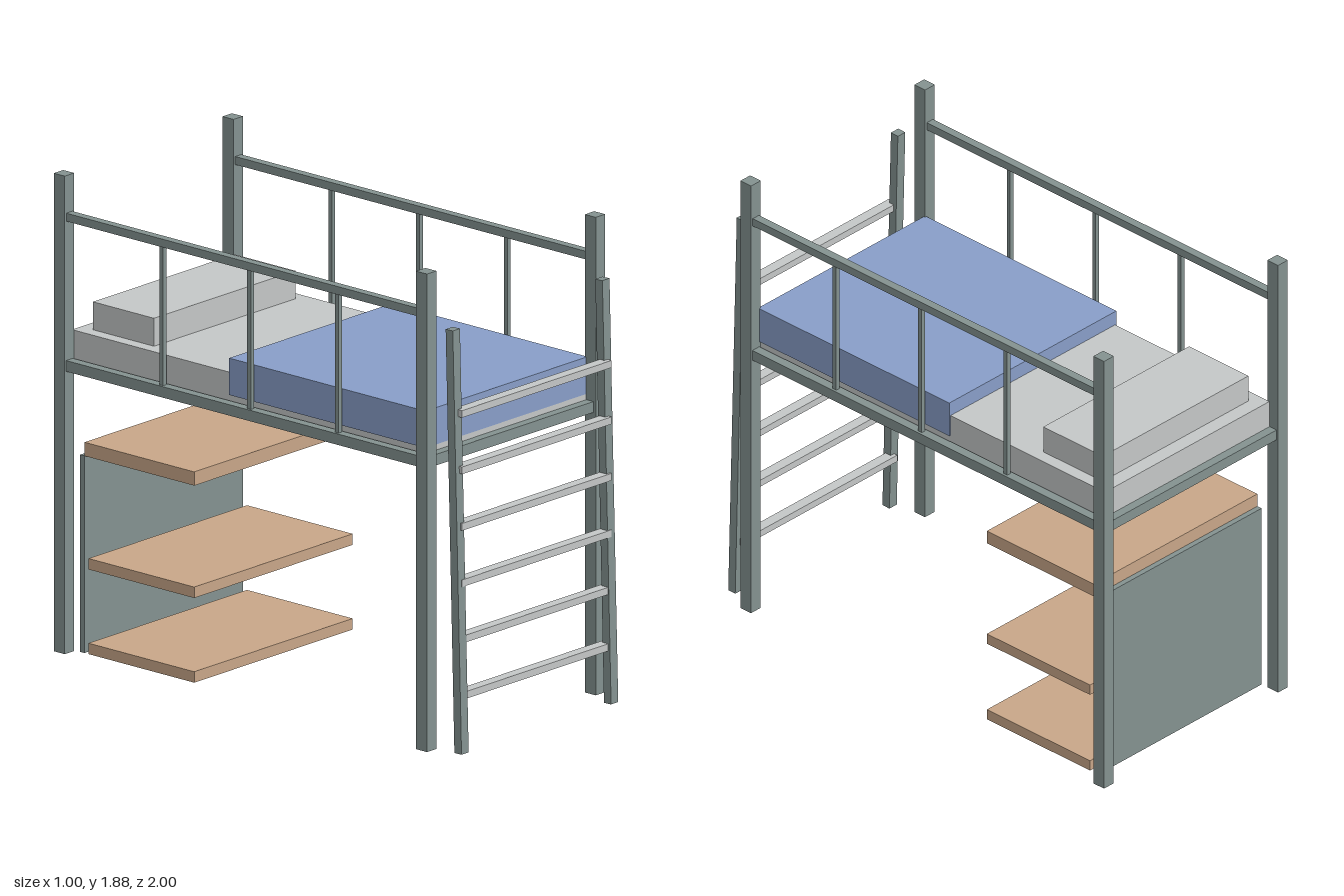
import * as THREE from 'three';

export function createModel() {
  const model = new THREE.Group();
  model.name = 'loftBed';

  const mat = (name, color) => {
    const m = new THREE.MeshStandardMaterial({ color });
    m.name = name;
    return m;
  };
  const frame = mat('grey green frame', 0x849290);
  const linen = mat('light grey linen', 0xc4c7c7);
  const blue = mat('blue blanket', 0x889ec8);
  const wood = mat('light wood', 0xc8a688);

  // Box given by its extents [min, max] on each axis
  function box(name, material, [x0, x1], [y0, y1], [z0, z1], parent = model) {
    const mesh = new THREE.Mesh(new THREE.BoxGeometry(x1 - x0, y1 - y0, z1 - z0), material);
    mesh.position.set((x0 + x1) / 2, (y0 + y1) / 2, (z0 + z1) / 2);
    mesh.name = name;
    parent.add(mesh);
    return mesh;
  }
  const span = (centre, size) => [centre - size / 2, centre + size / 2];

  const innerZ = [-0.945, 0.825];

  for (const side of [-1, 1]) {
    const label = side > 0 ? 'left' : 'right';
    const x = side * 0.474;

    // Corner posts
    box(label + 'FrontPost', frame, span(x, 0.053), [0, 1.88], [0.825, 0.88]);
    box(label + 'RearPost', frame, span(x, 0.053), [0, 1.88], [-1, -0.945]);

    // Bed rail, guard rail and balusters
    box(label + 'BedRail', frame, span(x, 0.038), [1.11, 1.153], innerZ);
    box(label + 'GuardRail', frame, span(x, 0.034), [1.70, 1.732], innerZ);
    for (const z of [0.41, -0.032, -0.474]) {
      box(label + 'Baluster', frame, span(x, 0.018), [1.153, 1.70], span(z, 0.018));
    }

    // Leaning ladder stringers
    const stringer = box(label + 'LadderStringer', frame, span(side * 0.42, 0.04), [0, 1.658], span(0.96, 0.036));
    stringer.rotation.x = -0.0265;
  }

  // End rails
  box('frontEndRail', frame, [-0.448, 0.448], [1.11, 1.153], span(0.85, 0.036));
  box('rearEndRail', frame, [-0.448, 0.448], [1.11, 1.153], span(-0.975, 0.036));

  // Ladder rungs
  for (let i = 0; i < 6; i++) {
    box('ladderRung', linen, [-0.42, 0.42], span(0.222 + i * 0.222, 0.028), [0.942, 0.985]);
  }

  // Bedding
  box('mattress', linen, [-0.448, 0.448], [1.112, 1.262], [-0.955, 0.83]);
  box('blanket', blue, [-0.455, 0.455], [1.175, 1.32], [-0.157, 0.832]);
  box('pillow', linen, [-0.397, 0.397], [1.262, 1.372], [-0.895, -0.588]);

  // Desk top, shelves and back panel
  box('deskTop', wood, [-0.445, 0.445], [0.777, 0.831], [-0.895, -0.342]);
  box('middleShelf', wood, [-0.445, 0.445], [0.335, 0.378], [-0.875, -0.342]);
  box('bottomShelf', wood, [-0.445, 0.445], [0.002, 0.045], [-0.875, -0.342]);
  box('backPanel', frame, [-0.445, 0.445], [0.002, 0.777], [-0.917, -0.895]);

  return model;
}
